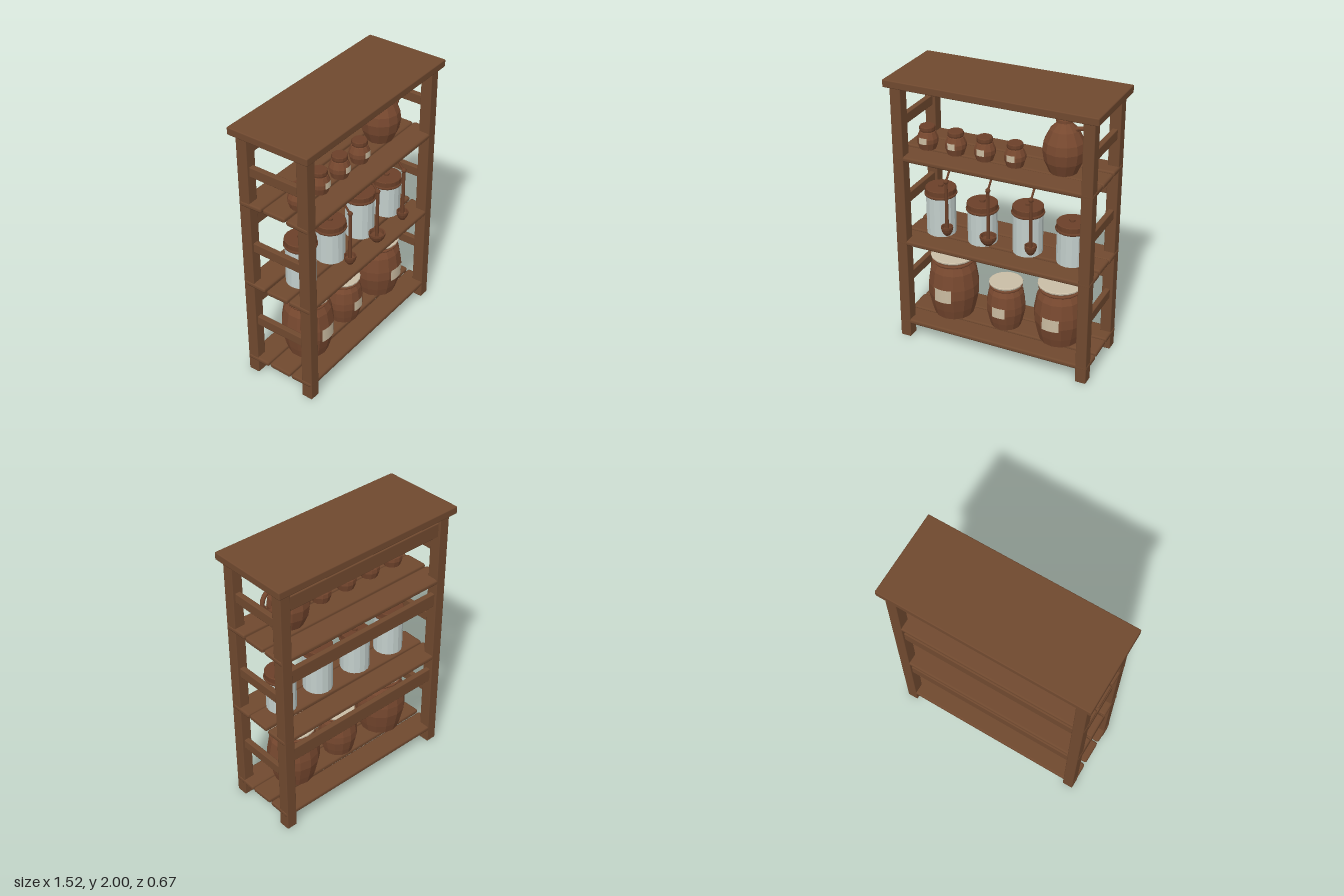
import * as THREE from 'three';
import { RoundedBoxGeometry } from 'three/addons/geometries/RoundedBoxGeometry.js';

const material = (name, color) => {
  const m = new THREE.MeshStandardMaterial({ color });
  m.name = name;
  return m;
};

export function createModel() {
  const root = new THREE.Group();
  root.name = 'pantryShelf';
  const wood = material('wood', 0x70492f);
  const clay = material('clay', 0x77482f);
  const lidBrown = material('lidBrown', 0x6b4029);
  const tin = material('paleGlass', 0xc2cecb);
  const cream = material('cream', 0xc9bda6);
  const label = material('labelPaper', 0xcabba0);
  label.side = THREE.DoubleSide;

  const add = (parent, name, geo, mat, x = 0, y = 0, z = 0) => {
    const mesh = new THREE.Mesh(geo, mat);
    mesh.name = name;
    mesh.position.set(x, y, z);
    parent.add(mesh);
    return mesh;
  };
  const group = (name, x, y, z) => {
    const g = new THREE.Group();
    g.name = name;
    g.position.set(x, y, z);
    root.add(g);
    return g;
  };
  const box = (w, h, d, r = 0.006) => new RoundedBoxGeometry(w, h, d, 1, r);
  // Faceted surface of revolution, profile listed from bottom to top
  const turned = (profile, sides) => {
    const g = new THREE.LatheGeometry(profile.map(([r, y]) => new THREE.Vector2(r, y)), sides).toNonIndexed();
    g.computeVertexNormals();
    return g;
  };
  // Paper label wrapped around the front of a pot
  const addLabel = (parent, radius, width, y, height) => {
    const angle = 2 * Math.asin(width / 2 / radius);
    add(parent, 'label', new THREE.CylinderGeometry(radius, radius, height, 6, 1, true, -angle / 2, angle), label, 0, y, 0);
  };

  // Frame: top slab, posts, rails
  add(root, 'topSlab', box(1.52, 0.055, 0.62, 0.008), wood, 0, 1.972, -0.025);
  for (const x of [-0.685, 0.685]) {
    for (const z of [0.212, -0.257]) add(root, 'post', box(0.08, 1.945, 0.084), wood, x, 0.975, z);
    for (const y of [0.467, 1.092, 1.685]) add(root, 'sideRail', box(0.04, 0.073, 0.4), wood, x, y, -0.023);
  }
  for (const y of [0.627, 1.279, 1.84]) add(root, 'backRail', box(1.3, 0.105, 0.04), wood, 0, y, -0.262);

  // Shelves: three slightly crooked planks each
  [0.125, 0.782, 1.435].forEach((y, i) => {
    [0.166, -0.02, -0.21].forEach((z, j) => {
      const plank = add(root, 'shelfPlank', box(1.46, 0.038, 0.178, 0.015), wood, 0, y + (j === 1 ? 0.003 : 0), z);
      plank.rotation.z = 0.005 * (((i + j) % 3) - 1);
      plank.rotation.x = 0.03 * (((i + 2 * j) % 3) - 1);
    });
  });

  // Large storage pots: x, radius, height, label centre, label width, label height
  for (const [x, r, h, ly, lw, lh] of [
    [-0.418, 0.185, 0.48, 0.21, 0.13, 0.105],
    [0, 0.14, 0.355, 0.155, 0.096, 0.08],
    [0.418, 0.185, 0.452, 0.197, 0.127, 0.095],
  ]) {
    const pot = group('storagePot', x, 0.152, -0.008);
    add(pot, 'potBody', turned([[0, 0], [0.77 * r, 0], [0.88 * r, 0.15 * h], [r, 0.37 * h], [r, 0.53 * h],
      [0.9 * r, 0.77 * h], [0.77 * r, 0.87 * h], [0.76 * r, 0.95 * h], [0, 0.95 * h]], 14), clay);
    const ring = add(pot, 'potRing', new THREE.TorusGeometry(0.79 * r, 0.01, 6, 18), clay, 0, 0.91 * h, 0);
    ring.rotation.x = Math.PI / 2;
    add(pot, 'potLid', turned([[0, h - 0.024], [0.8 * r, h - 0.024], [0.87 * r, h - 0.012], [0.87 * r, h - 0.003],
      [0.83 * r, h], [0, h]], 18), cream);
    addLabel(pot, r * 1.005, lw, ly, lh);
  }

  // Pale canisters with knobbed lids: x, body height
  for (const [x, h] of [[-0.497, 0.312], [-0.173, 0.262], [0.172, 0.312], [0.497, 0.262]]) {
    const can = group('canister', x, 0.803, 0.008);
    add(can, 'canisterBody', turned([[0, 0], [0.105, 0], [0.105, h], [0, h]], 16), tin);
    const rim = add(can, 'canisterRim', new THREE.TorusGeometry(0.107, 0.01, 6, 18), lidBrown, 0, h - 0.01, 0);
    rim.rotation.x = Math.PI / 2;
    add(can, 'canisterLid', turned([[0, h], [0.109, h], [0.109, h + 0.035], [0.104, h + 0.04], [0, h + 0.04]], 18), lidBrown);
    add(can, 'lidKnob', new THREE.CylinderGeometry(0.02, 0.02, 0.015, 10), lidBrown, 0, h + 0.047, 0);
  }

  // Small spice pots
  for (const x of [-0.56, -0.345, -0.127, 0.095]) {
    const pot = group('spicePot', x, 1.457, 0.055);
    add(pot, 'spiceBody', turned([[0, 0], [0.058, 0], [0.074, 0.05], [0.074, 0.08], [0.056, 0.125], [0.047, 0.13], [0, 0.13]], 12), clay);
    add(pot, 'spiceLid', turned([[0, 0.128], [0.053, 0.128], [0.056, 0.14], [0.055, 0.16], [0.05, 0.166], [0, 0.166]], 12), lidBrown);
    addLabel(pot, 0.0755, 0.056, 0.073, 0.046);
  }

  // Jug with looped handle and stopper
  const jug = group('jug', 0.418, 1.457, -0.003);
  add(jug, 'jugBody', turned([[0, 0], [0.095, 0], [0.132, 0.085], [0.144, 0.16], [0.135, 0.22], [0.095, 0.3],
    [0.05, 0.345], [0.046, 0.35], [0.058, 0.355], [0.058, 0.375], [0, 0.375]], 12), clay);
  add(jug, 'jugStopper', new THREE.CylinderGeometry(0.043, 0.04, 0.045, 12), cream, 0, 0.392, 0);
  add(jug, 'jugHandle', new THREE.TorusGeometry(0.086, 0.016, 6, 20), clay, 0.126, 0.237, 0);

  // Hanging ladles: x, bowl radius
  for (const [x, r] of [[-0.31, 0.042], [0, 0.058], [0.31, 0.042]]) {
    const ladle = group('ladle', x, 0, 0.273);
    add(ladle, 'ladleHandle', new THREE.CylinderGeometry(0.011, 0.013, 0.35, 8), lidBrown, 0, 1.175, 0);
    add(ladle, 'ladleEye', new THREE.SphereGeometry(0.018, 8, 6), lidBrown, 0, 1.345, 0);
    const hook = new THREE.LineCurve3(new THREE.Vector3(0, 1.345, 0), new THREE.Vector3(0, 1.415, -0.06));
    add(ladle, 'ladleHook', new THREE.TubeGeometry(hook, 1, 0.008, 6), lidBrown);
    add(ladle, 'ladleBowl', turned([[0, 0.943], [0.5 * r, 0.945], [0.85 * r, 0.97], [r, 0.995], [r, 1.01],
      [0.85 * r, 1.01], [0.75 * r, 0.985], [0, 0.975]], 14), lidBrown);
    add(ladle, 'bowlStem', new THREE.CylinderGeometry(0.012, 0.012, 0.05, 8), lidBrown, 0, 0.995, 0);
  }
  return root;
}
